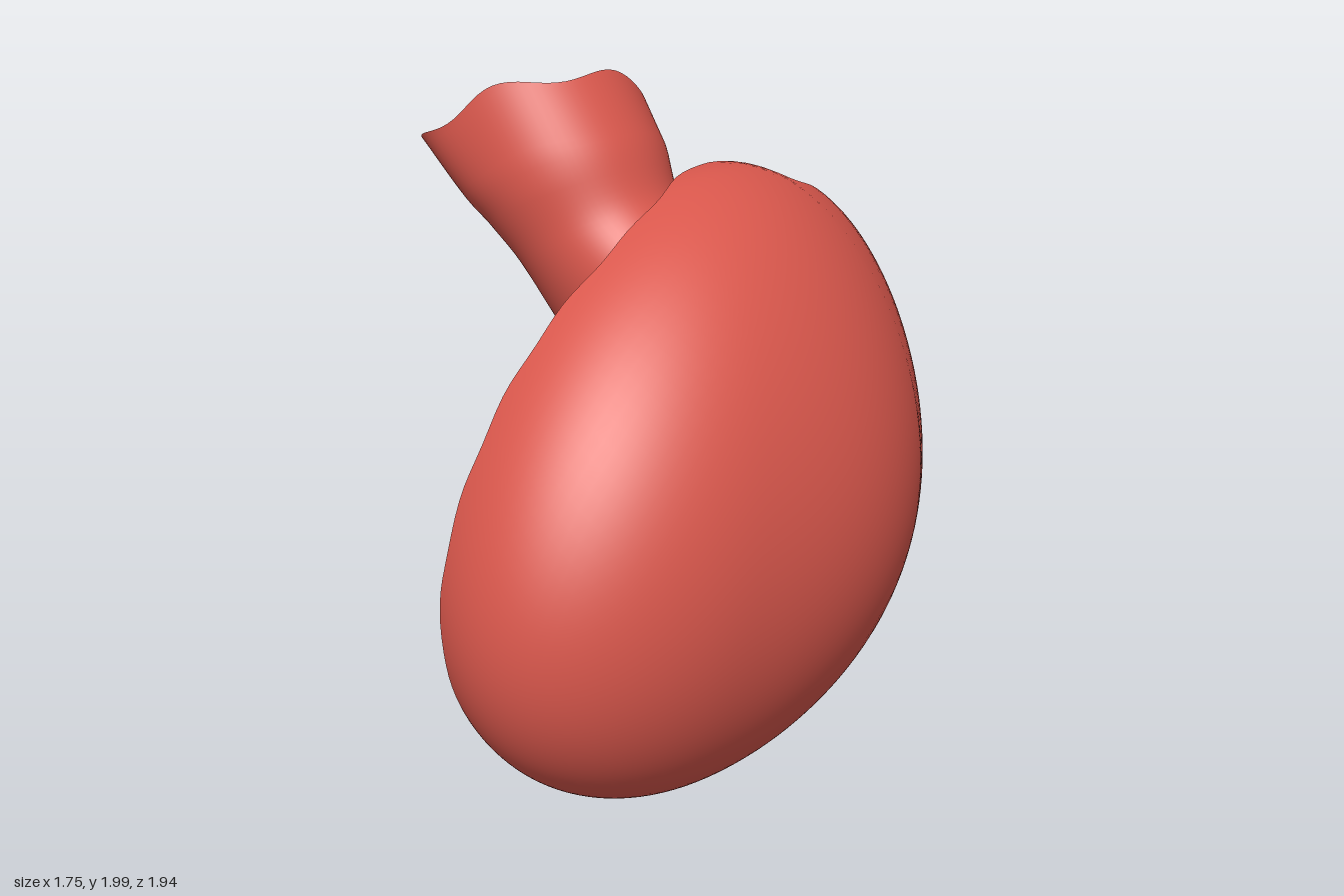
import * as THREE from 'three';

const V = (x, y, z) => new THREE.Vector3(x, y, z);
const material = new THREE.MeshStandardMaterial({ color: 0xd9574c, side: THREE.DoubleSide });

// Surface closed around its columns: point(u, v) with u around and v along; cut(p) is true inside an opening
function gridMesh(name, cols, rows, point, cut) {
  const pos = [], inside = [], index = [];
  for (let j = 0; j <= rows; j++) {
    for (let i = 0; i < cols; i++) {
      const p = point(i / cols, j / rows);
      inside.push(cut ? cut(p) : false);
      pos.push(p.x, p.y, p.z);
    }
  }
  for (let j = 0; j < rows; j++) {
    for (let i = 0; i < cols; i++) {
      const k = (i + 1) % cols;
      const a = j * cols + i, b = j * cols + k, c = a + cols, d = b + cols;
      if (inside[a] && inside[b] && inside[c] && inside[d]) continue;
      index.push(a, b, d, a, d, c);
    }
  }
  const g = new THREE.BufferGeometry();
  g.setAttribute('position', new THREE.Float32BufferAttribute(pos, 3));
  g.setIndex(index);
  g.computeVertexNormals();
  const mesh = new THREE.Mesh(g, material);
  mesh.name = name;
  return mesh;
}

// Tilted egg: unit sphere -> egg surface, wider low down, fuller at the back, drooping on the -x side
const centre = V(0.175, 0.9, -0.005);
function toEgg(s) {
  let x = 0.707 * s.x;
  let y = -0.156 * s.x + 0.886 * s.y;
  const z = (0.339 * s.x - 0.098 * s.y + 0.905 * s.z) * (1 - 0.1 * s.y) - 0.03 * s.y * s.y;
  if (x < 0) { y -= 0.9 * x * x; x -= 0.63 * x * x; }
  if (s.z < 0) x += s.x > 0 ? 0.25 * (s.x * s.z) ** 2 : 3 * s.x ** 6 * s.z ** 2;
  return V(x, y, z).add(centre);
}
// Nearest sphere direction for a point by the egg, found by stepping
function toSphere(p) {
  const s = V(0, 0, 0);
  for (let i = 0; i < 40; i++) {
    const d = p.clone().sub(i ? toEgg(s) : centre);
    const a = d.x / 0.707, b = (d.y + 0.156 * a) / 0.886;
    s.addScaledVector(V(a, b, (d.z - 0.339 * a + 0.098 * b) / 0.905), 0.5).normalize();
  }
  return s;
}

// Outer wall: swept over the egg from a pole out to its open edge
function outerWall() {
  const rim = new THREE.CatmullRomCurve3([
    [0.08, 1.8, -0.1], [0.2, 1.72, 0.15], [0.25, 1.62, 0.35], [0.27, 1.42, 0.6], [0.29, 1.1, 0.83],
    [0.3, 0.65, 0.95], [0.34, 0.25, 0.85], [0.4, 0.07, 0.62], [0, 0.06, 0.25], [-0.4, 0.14, 0.02],
    [-0.72, 0.38, -0.15], [-0.86, 0.63, -0.24], [-0.83, 0.66, -0.34], [-0.73, 0.61, -0.5],
    [-0.56, 0.59, -0.66], [-0.2, 0.68, -0.86], [0.08, 1.0, -0.94], [0.12, 1.3, -0.86],
    [0.12, 1.6, -0.6], [0.17, 1.72, -0.4], [0.06, 1.78, -0.2],
  ].map((p) => V(...p)), true, 'centripetal');
  const cols = 160;
  const ends = rim.getSpacedPoints(cols).map(toSphere);
  const pole = V(0.55, -0.4, -0.65).normalize();
  return gridMesh('outerWall', cols, 40, (u, v) => {
    const i = Math.round(u * cols), e = ends[i];
    const angle = v * (pole.angleTo(e) + 0.008 * Math.sin(i * 0.9) * v);
    const side = e.clone().addScaledVector(pole, -e.dot(pole)).normalize();
    return toEgg(pole.clone().multiplyScalar(Math.cos(angle)).addScaledVector(side, Math.sin(angle)));
  });
}

// Loft of ellipses; each station is [x, y, z, radius along a, radius along b]
function loft(name, stations, a, b, rows, ripple, cut) {
  const path = new THREE.CatmullRomCurve3(stations.map((s) => V(s[0], s[1], s[2])));
  const radii = new THREE.CatmullRomCurve3(stations.map((s) => V(s[3], s[4], 0)));
  return gridMesh(name, 72, rows, (u, v) => {
    const t = u * Math.PI * 2, r = radii.getPoint(v);
    const p = path.getPoint(v)
      .addScaledVector(a, Math.max(r.x, 0) * Math.cos(t))
      .addScaledVector(b, Math.max(r.y, 0) * Math.sin(t));
    return ripple(p, t, v);
  }, cut);
}

export function createModel() {
  const model = new THREE.Group();
  model.name = 'heartChamber';
  model.add(outerWall());

  const axis = V(0.53, -0.24, 0.81).normalize();
  const side = V(0.84, 0, -0.55).normalize();
  const up = axis.clone().cross(side).normalize();
  const vesselAxis = V(-0.5, 0.86, 0).normalize();
  const neck = V(-0.4, 1.47, -0.13);

  // Openings in the pouch: passage into the vessel, and a small window with a clean edge
  const openings = (p) => {
    const d = p.clone().sub(neck);
    if (p.y > 1.05 && d.addScaledVector(vesselAxis, -d.dot(vesselAxis)).length() < 0.24) return true;
    if (p.z < 0.05) return false;
    const dy = p.y - 0.73;
    const ex = (p.x + 0.25 * dy) / 0.115, ey = dy / 0.175;
    const q = Math.hypot(ex, ey);
    if (q >= 1 || q < 1e-4) return q < 1;
    p.x = (ex / q) * 0.115 - 0.25 * (ey / q) * 0.175;
    p.y = 0.73 + (ey / q) * 0.175;
    return true;
  };

  // Inner pouch, open at the back and closed at its tip
  model.add(loft('innerChamber', [
    [-0.41, 1.02, -0.7, 0.35, 0.37],
    [-0.29, 0.98, -0.57, 0.4, 0.5],
    [-0.06, 0.96, -0.31, 0.45, 0.64],
    [0.13, 0.91, -0.05, 0.41, 0.69],
    [0.29, 0.82, 0.24, 0.34, 0.62],
    [0.4, 0.74, 0.46, 0.23, 0.48],
    [0.47, 0.69, 0.6, 0.11, 0.26],
    [0.49, 0.67, 0.65, 0, 0],
  ], side, up, 80, (p, t, v) =>
    p.addScaledVector(axis, 0.02 * Math.sin(3 * t) * Math.max(0, 1 - v * 6)), openings));

  // Outlet vessel, swelling below a torn edge
  model.add(loft('outletVessel', [
    [-0.14, 1.18, -0.24, 0.37, 0.27],
    [-0.26, 1.31, -0.19, 0.33, 0.27],
    [-0.4, 1.47, -0.13, 0.28, 0.27],
    [-0.53, 1.65, -0.1, 0.31, 0.32],
    [-0.63, 1.81, -0.08, 0.3, 0.33],
  ], V(0.86, 0.5, 0), V(0, 0, -1), 36, (p, t, v) => {
    const edge = Math.max(0, v * 3 - 2);
    p.z += 0.08 * edge * Math.max(0, Math.cos(t + 2.2)) ** 6;
    return p.addScaledVector(vesselAxis, edge * (0.06 * Math.cos(t + 1) + 0.02 * Math.sin(5 * t)));
  }));
  return model;
}
